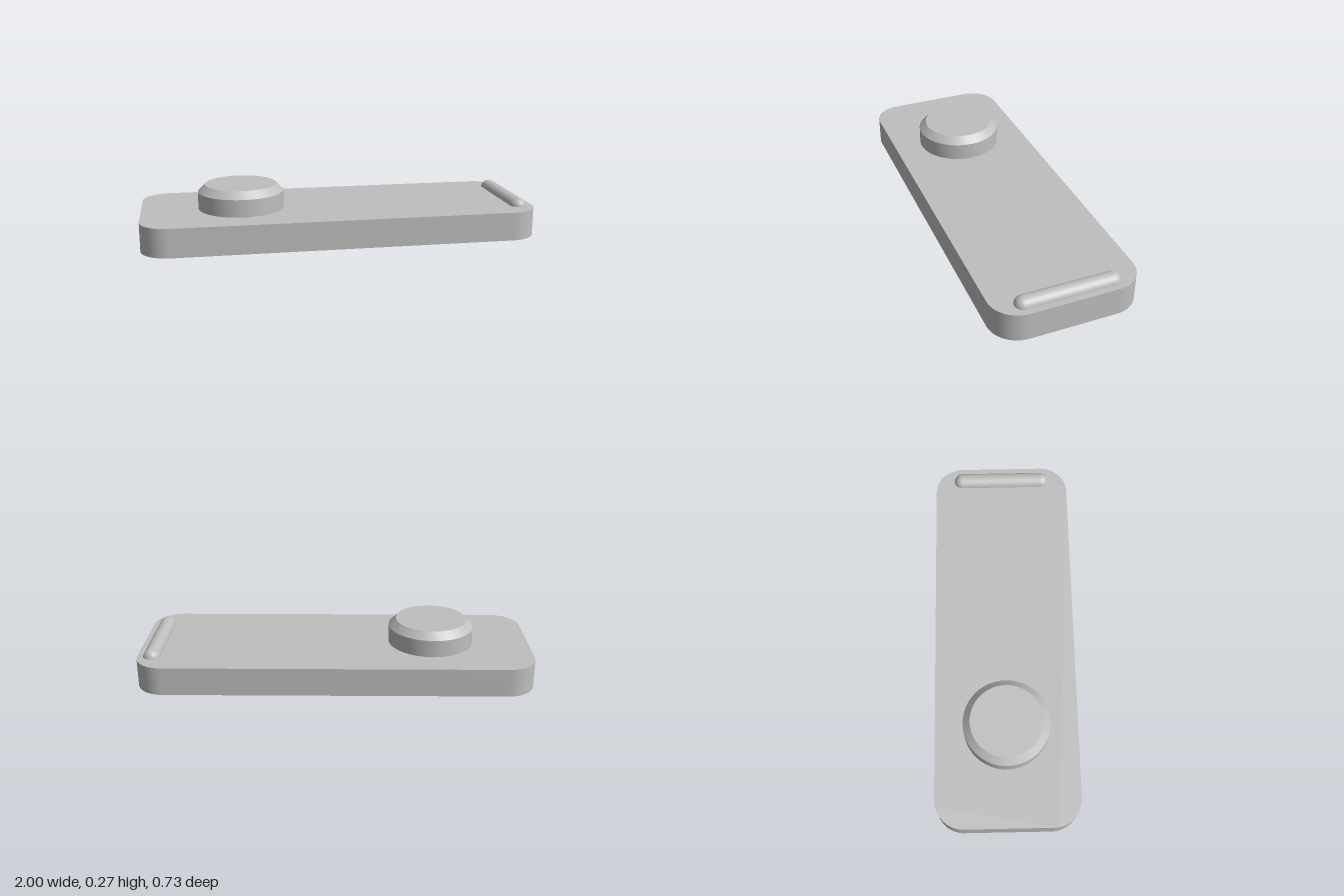
import * as THREE from 'three';
import { toCreasedNormals } from 'three/addons/utils/BufferGeometryUtils.js';

const BASE_HEIGHT = 0.145;

// Rounded rectangle outline centred on the origin
function roundedRect(halfX, halfY, r) {
  const shape = new THREE.Shape();
  shape.absarc(halfX - r, halfY - r, r, 0, Math.PI / 2);
  shape.absarc(-halfX + r, halfY - r, r, Math.PI / 2, Math.PI);
  shape.absarc(-halfX + r, -halfY + r, r, Math.PI, Math.PI * 1.5);
  shape.absarc(halfX - r, -halfY + r, r, Math.PI * 1.5, Math.PI * 2);
  shape.closePath();
  return shape;
}

export function createModel() {
  const group = new THREE.Group();
  group.name = 'buttonPlate';

  const grey = new THREE.MeshStandardMaterial({ color: 0xbfbfbf });
  grey.name = 'grey';

  function add(name, geometry, x, y, z) {
    const mesh = new THREE.Mesh(geometry, grey);
    mesh.name = name;
    mesh.position.set(x, y, z);
    group.add(mesh);
  }

  // Flat body with rounded corners
  const body = new THREE.ExtrudeGeometry(roundedRect(1, 0.363, 0.145), {
    depth: BASE_HEIGHT, bevelEnabled: false, curveSegments: 16,
  });
  body.rotateX(-Math.PI / 2);
  add('body', toCreasedNormals(body, 0.5), 0, 0, 0);

  // Round button with a chamfered rim
  const profile = [[0.218, 0], [0.218, 0.088], [0.182, 0.125], [0, 0.125]]
    .map(([r, y]) => new THREE.Vector2(r, y));
  const button = new THREE.LatheGeometry(profile, 64);
  add('button', toCreasedNormals(button, 0.5), -0.493, BASE_HEIGHT, 0);

  // Rounded ridge across the far end, sunk halfway into the body
  const ridge = new THREE.CapsuleGeometry(0.0436, 0.436, 12, 32);
  ridge.rotateX(Math.PI / 2);
  add('ridge', ridge, 0.926, 0.139, 0);

  return group;
}
